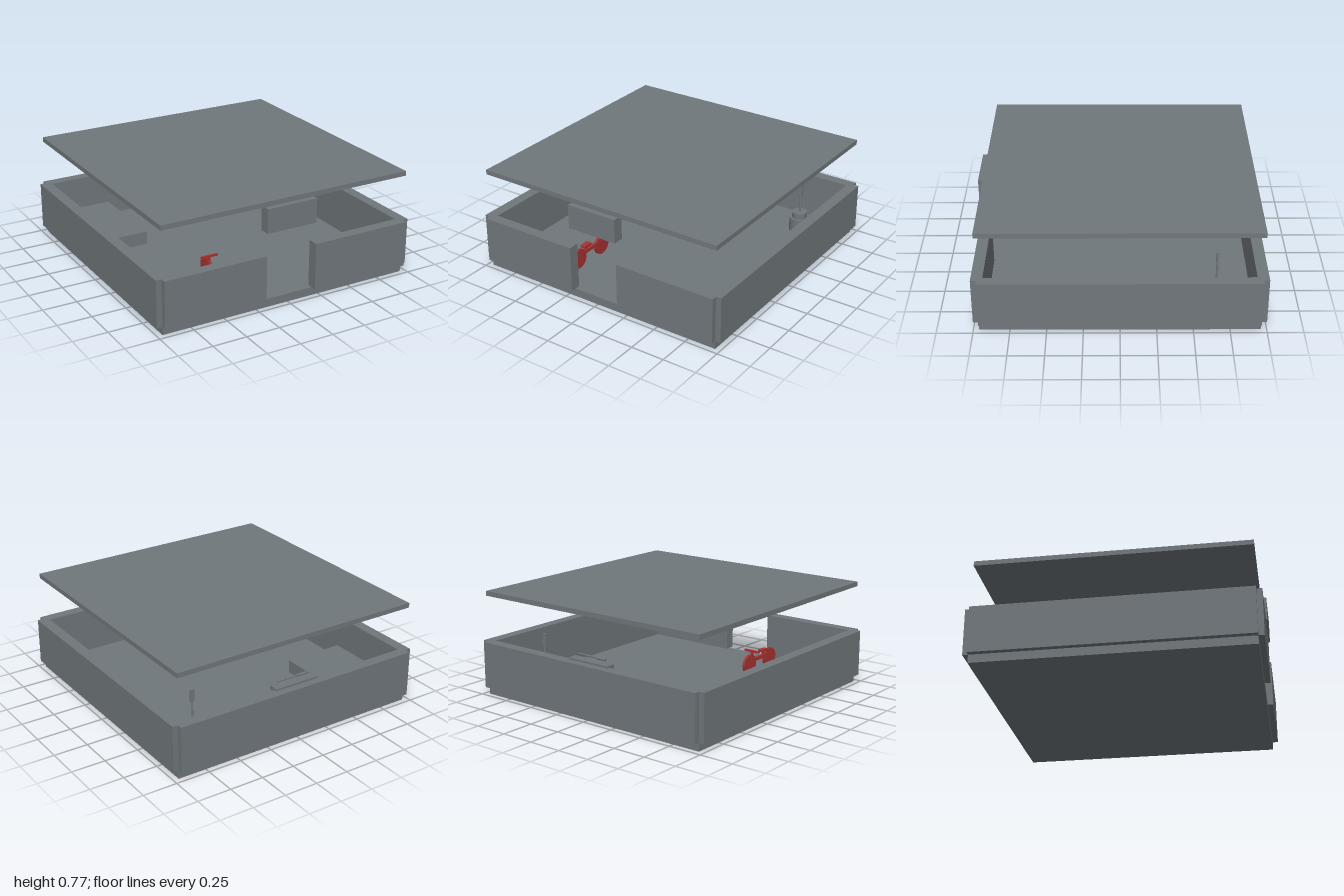
import * as THREE from 'three';

export function createModel() {
  const model = new THREE.Group();
  model.name = 'room';

  const grey = new THREE.MeshStandardMaterial({ color: 0x70777b });
  grey.name = 'slate grey';
  const red = new THREE.MeshStandardMaterial({ color: 0xa83232 });
  red.name = 'red';

  const add = (name, geometry, material, parent, x, y, z) => {
    const mesh = new THREE.Mesh(geometry, material);
    mesh.name = name;
    mesh.position.set(x, y, z);
    parent.add(mesh);
    return mesh;
  };
  // Box given by its lower and upper limits on each axis
  const box = (name, x0, x1, y0, y1, z0, z1, material = grey, parent = model) =>
    add(name, new THREE.BoxGeometry(x1 - x0, y1 - y0, z1 - z0), material, parent,
      (x0 + x1) / 2, (y0 + y1) / 2, (z0 + z1) / 2);
  const cylinder = (name, r, h, x, y, z, material = grey, parent = model) =>
    add(name, new THREE.CylinderGeometry(r, r, h, 24), material, parent, x, y, z);

  // Shell: floor, walls with a doorway, lifted roof and its lintel
  box('floor', -0.96, 0.96, 0, 0.06, -0.96, 0.96);
  box('backWall', -0.96, 0.96, 0.06, 0.4, -1, -0.92);
  for (const s of [-1, 1]) {
    box(s < 0 ? 'rightWall' : 'leftWall', s * 0.96 - 0.04, s * 0.96 + 0.04, 0.06, 0.4, -0.96, 0.96);
  }
  box('frontWallRight', -0.96, -0.195, 0.06, 0.4, 0.92, 1);
  box('frontWallLeft', 0.195, 0.96, 0.06, 0.4, 0.92, 1);
  box('lintel', -0.195, 0.19, 0.56, 0.735, 0.92, 1);
  box('roof', -0.96, 0.96, 0.735, 0.77, -0.96, 0.96);

  // Low bed in the back corner
  box('bed', -0.92, -0.46, 0.06, 0.16, -0.92, -0.25);

  // Shelf on the back wall with a rod above it
  box('shelf', -0.175, 0.175, 0.385, 0.415, -0.945, -0.875);
  cylinder('rod', 0.006, 0.245, 0.008, 0.438, -0.89).rotation.z = Math.PI / 2;
  cylinder('rodGrip', 0.009, 0.075, -0.077, 0.436, -0.89).rotation.z = Math.PI / 2;

  // Round stand with an upright paddle
  cylinder('standBase', 0.075, 0.11, 0.67, 0.115, -0.67);
  cylinder('standTop', 0.055, 0.05, 0.67, 0.19, -0.67);
  cylinder('paddleShaft', 0.008, 0.16, 0.67, 0.285, -0.672);
  box('paddleHead', 0.655, 0.685, 0.35, 0.443, -0.68, -0.665);

  // Bicycle parked beside the doorway
  const bicycle = new THREE.Group();
  bicycle.name = 'bicycle';
  bicycle.position.set(-0.35, 0.06, 0.59);
  model.add(bicycle);
  for (const s of [-1, 1]) {
    cylinder('wheel', 0.075, 0.02, 0, 0.075, s * 0.13, red, bicycle).rotation.z = Math.PI / 2;
  }
  box('frameBar', -0.012, 0.012, 0.09, 0.115, -0.13, 0.13, red, bicycle);
  box('handlebarPost', -0.008, 0.008, 0.1, 0.17, -0.105, -0.09, red, bicycle);
  box('handlebar', -0.065, 0.065, 0.165, 0.18, -0.105, -0.09, red, bicycle);
  box('seatPost', -0.008, 0.008, 0.1, 0.145, 0.04, 0.055, red, bicycle);
  box('seat', -0.02, 0.02, 0.14, 0.158, 0.01, 0.085, red, bicycle);

  return model;
}
